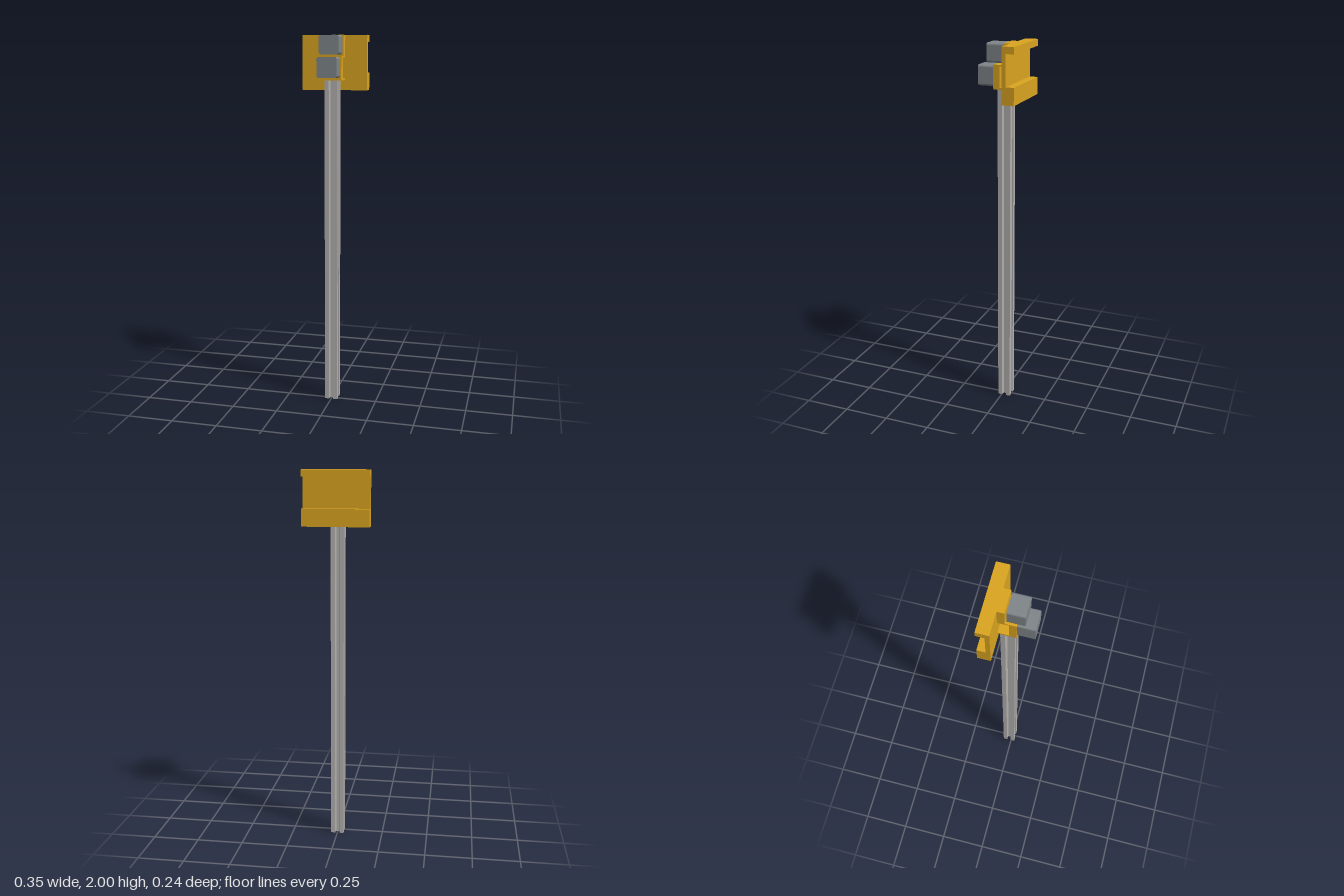
import * as THREE from 'three';

const gold = new THREE.MeshStandardMaterial({ color: 0xdaa520 });
const dark = new THREE.MeshStandardMaterial({ color: 0x80868a });
const metal = new THREE.MeshStandardMaterial({ color: 0xb4b2b0 });

// Box given by its half width and its y and z ranges
function slab(name, halfX, y0, y1, z0, z1) {
  const mesh = new THREE.Mesh(new THREE.BoxGeometry(halfX * 2, y1 - y0, z1 - z0), gold);
  mesh.name = name;
  mesh.position.set(0, (y0 + y1) / 2, (z0 + z1) / 2);
  return mesh;
}

// Block with rounded edges running front to back
function roundedBlock(name, w, y0, y1, z0, z1, r) {
  const x = w / 2 - r, y = (y1 - y0) / 2 - r;
  const shape = new THREE.Shape();
  shape.absarc(x, y, r, 0, Math.PI / 2);
  shape.absarc(-x, y, r, Math.PI / 2, Math.PI);
  shape.absarc(-x, -y, r, Math.PI, Math.PI * 1.5);
  shape.absarc(x, -y, r, Math.PI * 1.5, Math.PI * 2);
  const geo = new THREE.ExtrudeGeometry(shape, { depth: z1 - z0, bevelEnabled: false, curveSegments: 6 });
  const mesh = new THREE.Mesh(geo, dark);
  mesh.name = name;
  mesh.position.set(0, (y0 + y1) / 2, z0);
  return mesh;
}

// Square slotted rail: one corner of the section turned four times
function slottedPost(height) {
  const corner = [
    [0.014, 0.007], [0.021, 0.014], [0.021, 0.013], [0.028, 0.02], [0.028, 0.012], [0.035, 0.012],
    [0.035, 0.035],
    [0.012, 0.035], [0.012, 0.028], [0.02, 0.028], [0.013, 0.021], [0.014, 0.021], [0.007, 0.014],
  ].filter((p, i) => ![1, 2, 10, 11].includes(i));
  const points = [];
  for (let k = 0; k < 4; k++) {
    const c = [1, 0, -1, 0][k], s = [0, 1, 0, -1][k];
    for (const [x, y] of corner) points.push(new THREE.Vector2(x * c - y * s, x * s + y * c));
  }
  const shape = new THREE.Shape(points);
  shape.holes.push(new THREE.Path().absarc(0, 0, 0.008, 0, Math.PI * 2, true));
  const geo = new THREE.ExtrudeGeometry(shape, { depth: height, bevelEnabled: false, curveSegments: 10 });
  geo.rotateX(-Math.PI / 2);
  const mesh = new THREE.Mesh(geo, metal);
  mesh.name = 'post';
  mesh.position.z = -0.014;
  return mesh;
}

export function createModel() {
  const model = new THREE.Group();
  model.name = 'postWithBracket';
  model.add(slottedPost(1.768));

  // Channel-shaped back plate
  const backPlate = new THREE.Group();
  backPlate.name = 'backPlate';
  backPlate.add(
    slab('web', 0.175, 1.715, 2, -0.077, -0.055),
    slab('topFlange', 0.175, 1.965, 2, -0.12, -0.077),
    slab('bottomFlange', 0.175, 1.715, 1.805, -0.12, -0.077),
  );

  // Stepped bracket, open from side to side
  const bracket = new THREE.Group();
  bracket.name = 'bracket';
  bracket.add(
    slab('upperMount', 0.058, 1.885, 2, -0.055, -0.02),
    slab('shelf', 0.058, 1.885, 1.893, -0.02, 0.035),
    slab('lowerMount', 0.058, 1.778, 1.885, 0, 0.035),
    slab('base', 0.058, 1.768, 1.778, -0.055, 0.035),
  );

  model.add(
    backPlate, bracket,
    roundedBlock('upperBlock', 0.105, 1.9, 1.998, -0.013, 0.073, 0.012),
    roundedBlock('lowerBlock', 0.105, 1.782, 1.888, 0.035, 0.12, 0.012),
  );
  return model;
}
